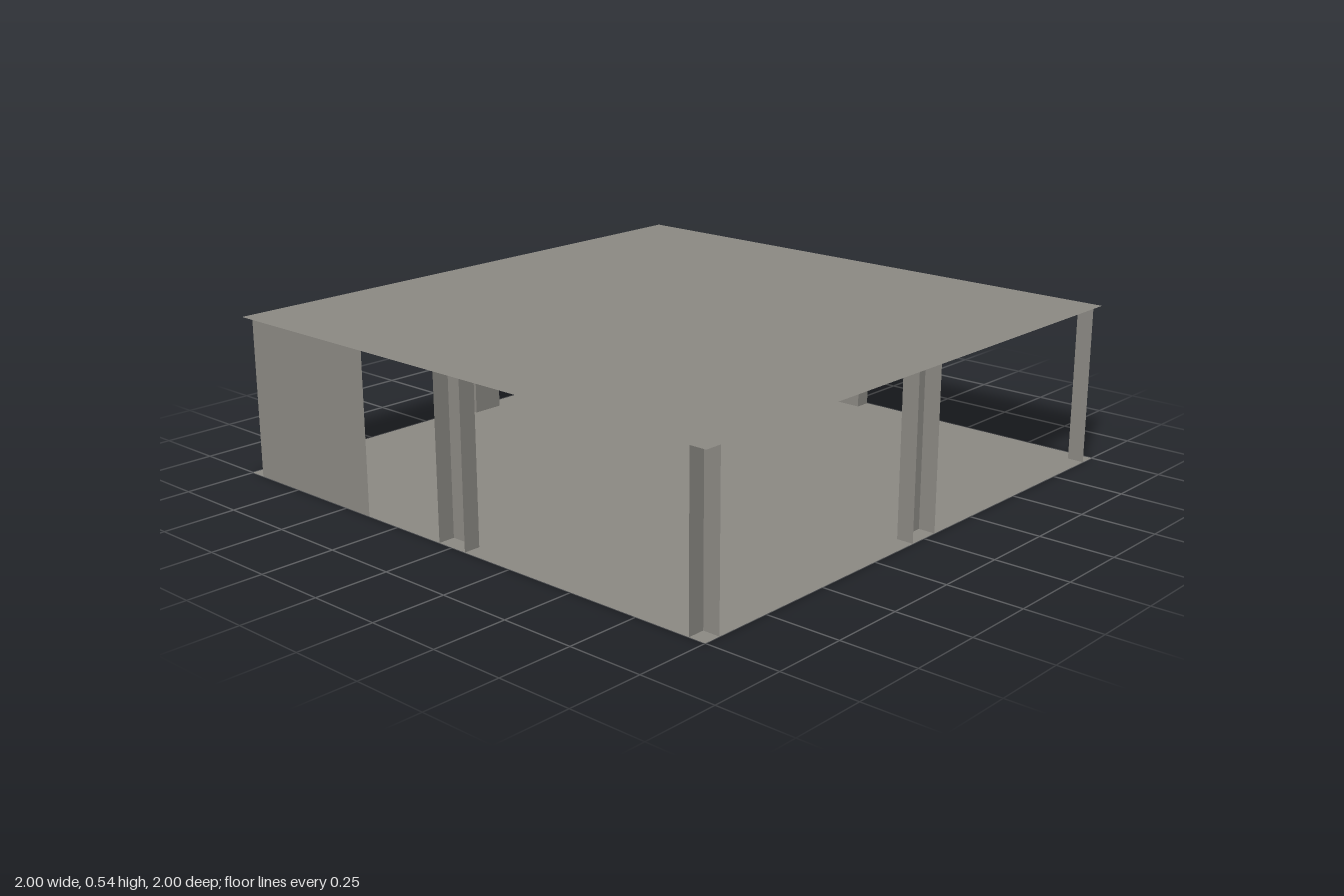
import * as THREE from 'three';

const HEIGHT = 0.535;
const EDGE = 1;        // half the slab width
const INSET = 0.943;   // inner face of the posts
const HALF = 0.057;    // half the width of a middle post

export function createModel() {
  const model = new THREE.Group();
  model.name = 'openPavilion';
  const concrete = new THREE.MeshStandardMaterial({ color: 0x8b8983, side: THREE.DoubleSide });
  concrete.name = 'warm grey concrete';

  // Upright sheet between two points of the floor plan
  function sheet(parent, name, [x1, z1], [x2, z2]) {
    const length = Math.hypot(x2 - x1, z2 - z1);
    const mesh = new THREE.Mesh(new THREE.PlaneGeometry(length, HEIGHT), concrete);
    mesh.name = name;
    mesh.position.set((x1 + x2) / 2, HEIGHT / 2, (z1 + z2) / 2);
    mesh.rotation.y = -Math.atan2(z2 - z1, x2 - x1);
    parent.add(mesh);
  }

  // Post folded along a line of floor plan points
  function post(name, points, turn) {
    const group = new THREE.Group();
    group.name = name;
    for (let i = 1; i < points.length; i++) {
      sheet(group, `${name}Side${i}`, points[i - 1], points[i]);
    }
    group.rotation.y = turn;
    model.add(group);
  }

  // Floor and roof slabs
  for (const [name, y, tilt] of [['floor', 0, -1], ['roof', HEIGHT, -1]]) {
    const slab = new THREE.Mesh(new THREE.PlaneGeometry(2 * EDGE, 2 * EDGE), concrete);
    slab.name = name;
    slab.position.y = y;
    slab.rotation.x = tilt * Math.PI / 2;
    model.add(slab);
  }

  // Corner posts notched at the outside, and channel posts midway along each side
  const corner = [[INSET, EDGE], [INSET, INSET], [EDGE, INSET]];
  const channel = [[-HALF, EDGE], [-HALF, INSET], [HALF, INSET], [HALF, EDGE]];
  for (let i = 0; i < 4; i++) {
    post(`cornerPost${i + 1}`, corner, i * Math.PI / 2);
    post(`middlePost${i + 1}`, channel, i * Math.PI / 2);
  }

  // Short wall at the back of the right side
  sheet(model, 'sideWall', [-EDGE, -INSET], [-EDGE, -0.388]);

  return model;
}
